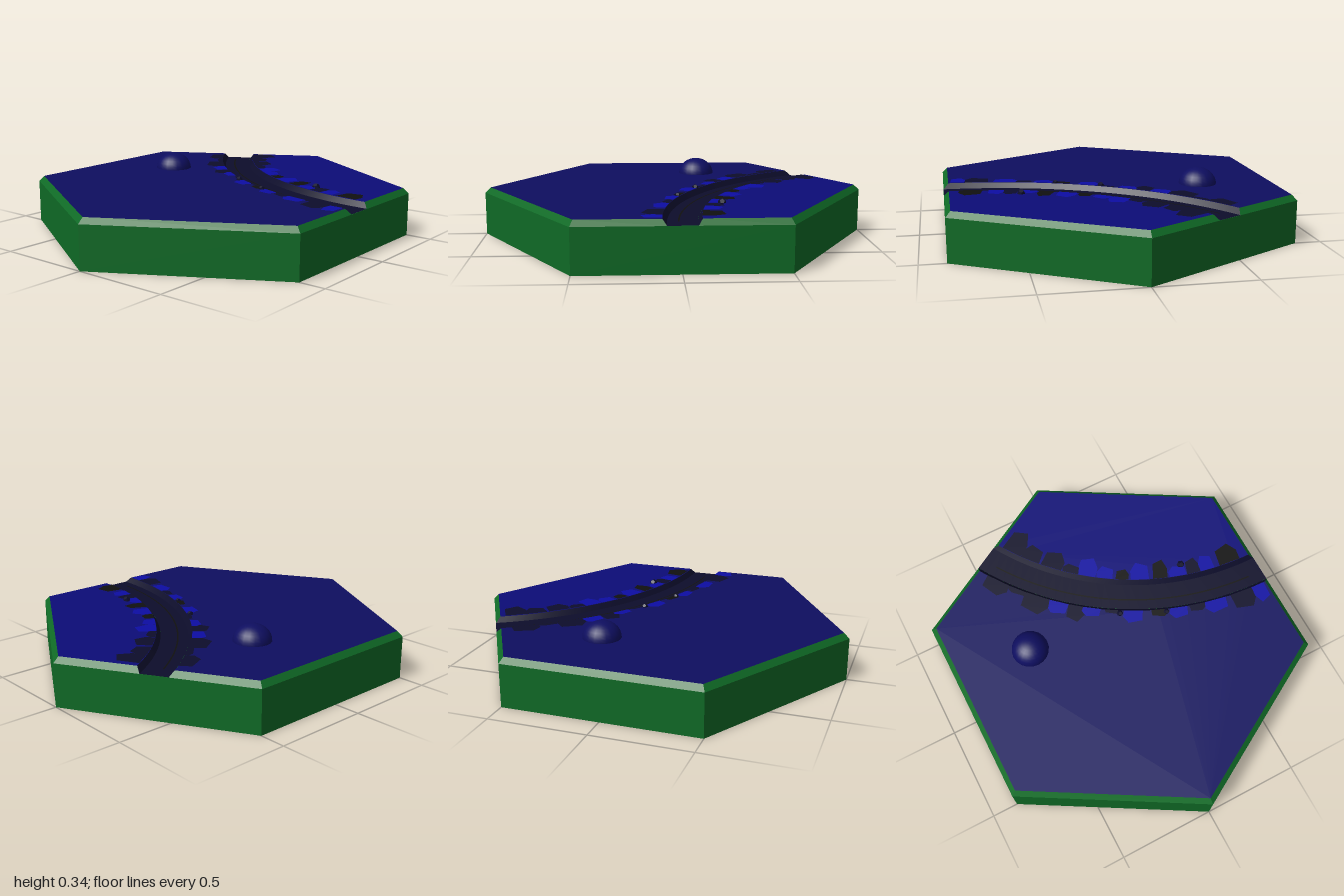
import * as THREE from 'three';

const colour = (name, color) => {
  const m = new THREE.MeshStandardMaterial({ color, side: THREE.DoubleSide });
  m.name = name;
  return m;
};

const APOTHEM = Math.sqrt(3) / 2, INSET = 0.025, TOP = 0.25, FLOOR = 0.222;
const BED = 0.07, BANK = 0.09, ARC = 1.5;          // half widths and radius of the curved channel
const rad = THREE.MathUtils.degToRad;

// The channel bends round a point where two tile edges meet when extended
const polar = (r, a) => [APOTHEM - r * Math.sin(a), r * Math.cos(a) - ARC];
const corner = (k, r) => [r * Math.sin(k * Math.PI / 3), r * Math.cos(k * Math.PI / 3)];

// Arc points, stopped short of both tile edges by the given inset
function arcPoints(r, inset, n = 32) {
  const gap = Math.asin(inset / r), pts = [];
  for (let i = 0; i <= n; i++) pts.push(polar(r, gap + (Math.PI / 3 - 2 * gap) * i / n));
  return pts;
}

// Flat horizontal polygon from x,z points
function flat(points, y) {
  const g = new THREE.ShapeGeometry(new THREE.Shape(points.map(([x, z]) => new THREE.Vector2(x, -z))));
  return g.rotateX(-Math.PI / 2).translate(0, y, 0);
}

// Strip joining two rows of x,z points, facing upward
function strip(a, ya, b, yb) {
  const pos = [], idx = [];
  a.forEach((p, i) => pos.push(p[0], ya, p[1], b[i][0], yb, b[i][1]));
  for (let i = 0; i < a.length - 1; i++) {
    const k = i * 2;
    const cross = (a[i + 1][1] - a[i][1]) * (b[i][0] - a[i][0]) - (a[i + 1][0] - a[i][0]) * (b[i][1] - a[i][1]);
    if (cross > 0) idx.push(k, k + 2, k + 1, k + 1, k + 2, k + 3);
    else idx.push(k, k + 1, k + 2, k + 1, k + 3, k + 2);
  }
  const g = new THREE.BufferGeometry();
  g.setAttribute('position', new THREE.Float32BufferAttribute(pos, 3));
  g.setIndex(idx);
  g.computeVertexNormals();
  return g;
}

export function createModel() {
  const green = colour('edge green', 0x0f6a26);
  const navy = colour('land navy', 0x0e0e60);
  const blue = colour('far land blue', 0x0c0c78);
  const bright = colour('bright blue', 0x0d0da4);
  const dark = colour('channel dark', 0x0d0d2b);
  const black = colour('black', 0x101010);

  const group = new THREE.Group();
  const add = (name, geometry, material) => {
    const mesh = new THREE.Mesh(geometry, material);
    mesh.name = name;
    group.add(mesh);
    return mesh;
  };

  // Hexagonal body
  const body = new THREE.CylinderGeometry(1, 1, FLOOR, 6).toNonIndexed();
  body.computeVertexNormals();
  add('tileBody', body.translate(0, FLOOR / 2, 0), green);

  // Bevelled rim, broken where the channel leaves the tile
  const inner = 1 - INSET / APOTHEM;
  const rim = (o0, o1, i0, i1) => add('bevel', strip([o0, o1], FLOOR, [i0, i1], TOP), green);
  const gapEnd = (r, inset, far) => {
    const a = Math.asin(inset / r);
    return polar(r, far ? Math.PI / 3 - a : a);
  };
  for (let k = 0; k < 6; k++) {
    const o0 = corner(k, 1), o1 = corner(k + 1, 1), i0 = corner(k, inner), i1 = corner(k + 1, inner);
    if (k === 1 || k === 3) {
      const far = k === 3;
      const s = far ? -1 : 1;
      rim(o0, gapEnd(ARC + s * BED, 0, far), i0, gapEnd(ARC + s * BANK, INSET, far));
      rim(gapEnd(ARC - s * BED, 0, far), o1, gapEnd(ARC - s * BANK, INSET, far), i1);
    } else rim(o0, o1, i0, i1);
  }

  // Land on either side of the channel
  add('frontLand', flat([...arcPoints(ARC + BANK, INSET), ...[4, 5, 0, 1].map(k => corner(k, inner))], TOP), navy);
  add('backLand', flat([...arcPoints(ARC - BANK, INSET), ...[3, 2].map(k => corner(k, inner))], TOP), blue);

  // Sunken channel with sloping banks and a thin rut
  add('channelFloor', strip(arcPoints(ARC - BED, 0), FLOOR + 0.001, arcPoints(ARC + BED, 0), FLOOR + 0.001), dark);
  for (const s of [-1, 1])
    add('channelBank', strip(arcPoints(ARC + s * BED, 0), FLOOR, arcPoints(ARC + s * BANK, INSET), TOP), dark);
  add('rut', strip(arcPoints(1.513, 0.08), FLOOR + 0.003, arcPoints(1.521, 0.08), FLOOR + 0.003), black);

  // Ragged patches beside the channel: angle, half width (degrees), outer radius, colour
  const patches = [
    [54.8, 2.4, 1.67, dark], [50.5, 1.8, 1.62, dark], [46.4, 2.5, 1.69, dark], [42, 1.9, 1.66, bright],
    [38.5, 1.6, 1.68, dark], [35.5, 1.7, 1.64, bright], [31.5, 1.5, 1.61, dark], [27.5, 1.8, 1.66, bright],
    [22.5, 1.6, 1.63, black], [18.8, 1.7, 1.65, bright], [15.2, 1.5, 1.63, dark], [11.5, 2.1, 1.66, bright],
    [6.2, 2.2, 1.69, dark], [2.6, 1.3, 1.69, bright],
    [55.6, 2.3, 1.27, dark], [51, 2.2, 1.32, dark], [46, 2.4, 1.31, dark], [41.5, 1.8, 1.36, dark],
    [38, 2.1, 1.3, bright], [33.8, 1.8, 1.34, bright], [30, 1.4, 1.35, black], [26, 2, 1.31, bright],
    [21.5, 1.6, 1.3, black], [17.5, 1.9, 1.35, bright], [14, 1.5, 1.32, dark], [10.8, 1.6, 1.32, bright],
    [5.6, 2.4, 1.3, black],
  ];
  patches.forEach(([a, w, r, material], i) => {
    const edge = ARC + Math.sign(r - ARC) * BANK;
    const skew = i % 2 ? 1 : -1;
    const at = (radius, t) => polar(radius, rad(a + skew * t * w));
    const outline = [at(edge, -1), at(edge, 1), at((edge + r) / 2, 1.1), at(r, 0.5), at(r + (edge - r) * 0.2, -0.9)];
    add('bankPatch', flat(outline, TOP + 0.002 + (i % 3) * 0.0004), material);
  });

  // Rounded mound
  const dome = new THREE.SphereGeometry(0.098, 20, 8, 0, Math.PI * 2, 0, Math.PI / 2);
  const mound = add('mound', dome, navy);
  mound.scale.y = 0.87;
  mound.position.set(-0.45, TOP, -0.15);

  // Small stones
  for (const [x, z, r] of [[0.06, -0.11, 0.017], [0.285, -0.005, 0.015], [0.485, -0.21, 0.021]]) {
    const stone = new THREE.DodecahedronGeometry(r);
    add('stone', stone, dark).position.set(x, TOP + 0.002, z);
  }
  return group;
}
